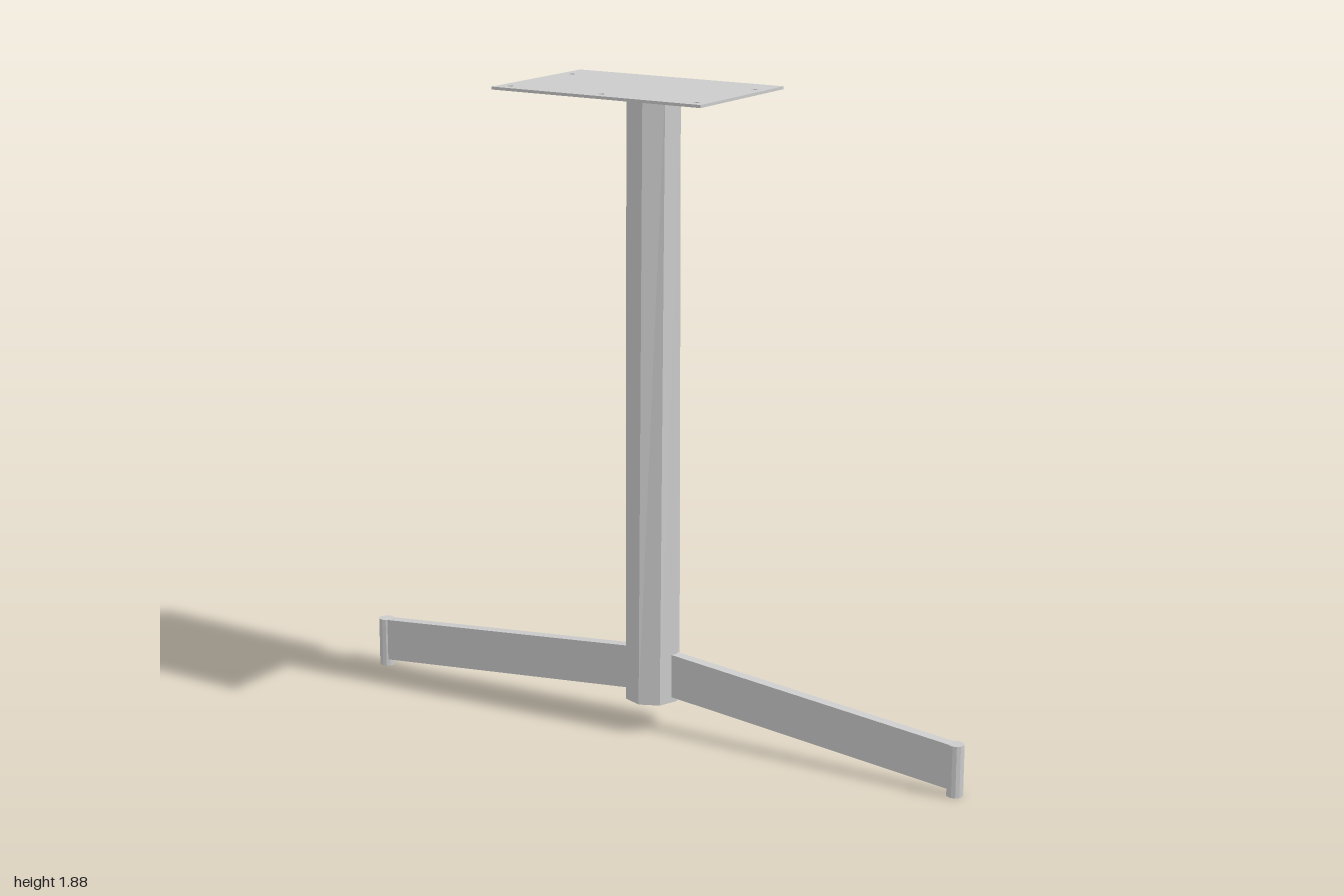
import * as THREE from 'three';

const AXIS_Z = -0.082; // depth of the column and feet

export function createModel() {
  const group = new THREE.Group();
  const material = new THREE.MeshStandardMaterial({ color: 0xcccccc, flatShading: true });
  const add = (name, geometry, x = 0, y = 0, z = 0) => {
    const mesh = new THREE.Mesh(geometry, material);
    mesh.name = name;
    mesh.position.set(x, y, z);
    group.add(mesh);
    return mesh;
  };

  // Thin top plate with five screw holes
  const w = 0.333, d = 0.217, thickness = 0.008;
  const plate = new THREE.Shape([
    new THREE.Vector2(-w, -d), new THREE.Vector2(w, -d),
    new THREE.Vector2(w, d), new THREE.Vector2(-w, d),
  ]);
  for (const [x, z] of [[-0.297, -0.12], [0.297, -0.12], [-0.297, 0.18], [0, 0.18], [0.297, 0.18]]) {
    plate.holes.push(new THREE.Path().absarc(x, -z, 0.009, 0, Math.PI * 2, true));
  }
  const plateGeometry = new THREE.ExtrudeGeometry(plate, {
    depth: thickness, bevelEnabled: false, curveSegments: 8,
  });
  plateGeometry.rotateX(-Math.PI / 2);
  add('topPlate', plateGeometry, 0, 1.871, 0);

  // Eight-sided column, twisted slightly from top to bottom
  const bottom = 0.09, top = 1.871, height = top - bottom;
  const column = new THREE.CylinderGeometry(0.081, 0.081, height, 8, 1, false, THREE.MathUtils.degToRad(10));
  const p = column.attributes.position;
  const v = new THREE.Vector3(), up = new THREE.Vector3(0, 1, 0);
  for (let i = 0; i < p.count; i++) {
    v.fromBufferAttribute(p, i);
    v.applyAxisAngle(up, THREE.MathUtils.degToRad(-8) * (0.5 - v.y / height));
    p.setXYZ(i, v.x, v.y, v.z);
  }
  column.computeVertexNormals();
  add('column', column, 0, (top + bottom) / 2, AXIS_Z);

  // Sloping legs, each ending in a small round foot
  const armWidth = 0.032;
  for (const side of [-1, 1]) {
    const arm = new THREE.Shape([
      new THREE.Vector2(side * 0.06, 0.108), new THREE.Vector2(side * 0.97, 0.02),
      new THREE.Vector2(side * 0.97, 0.149), new THREE.Vector2(side * 0.06, 0.237),
    ]);
    const label = side > 0 ? 'left' : 'right';
    add(label + 'Leg', new THREE.ExtrudeGeometry(arm, { depth: armWidth, bevelEnabled: false }),
      0, 0, AXIS_Z - armWidth / 2);
    add(label + 'Foot', new THREE.CylinderGeometry(0.023, 0.023, 0.15, 12), side * 0.977, 0.075, AXIS_Z);
  }
  return group;
}
